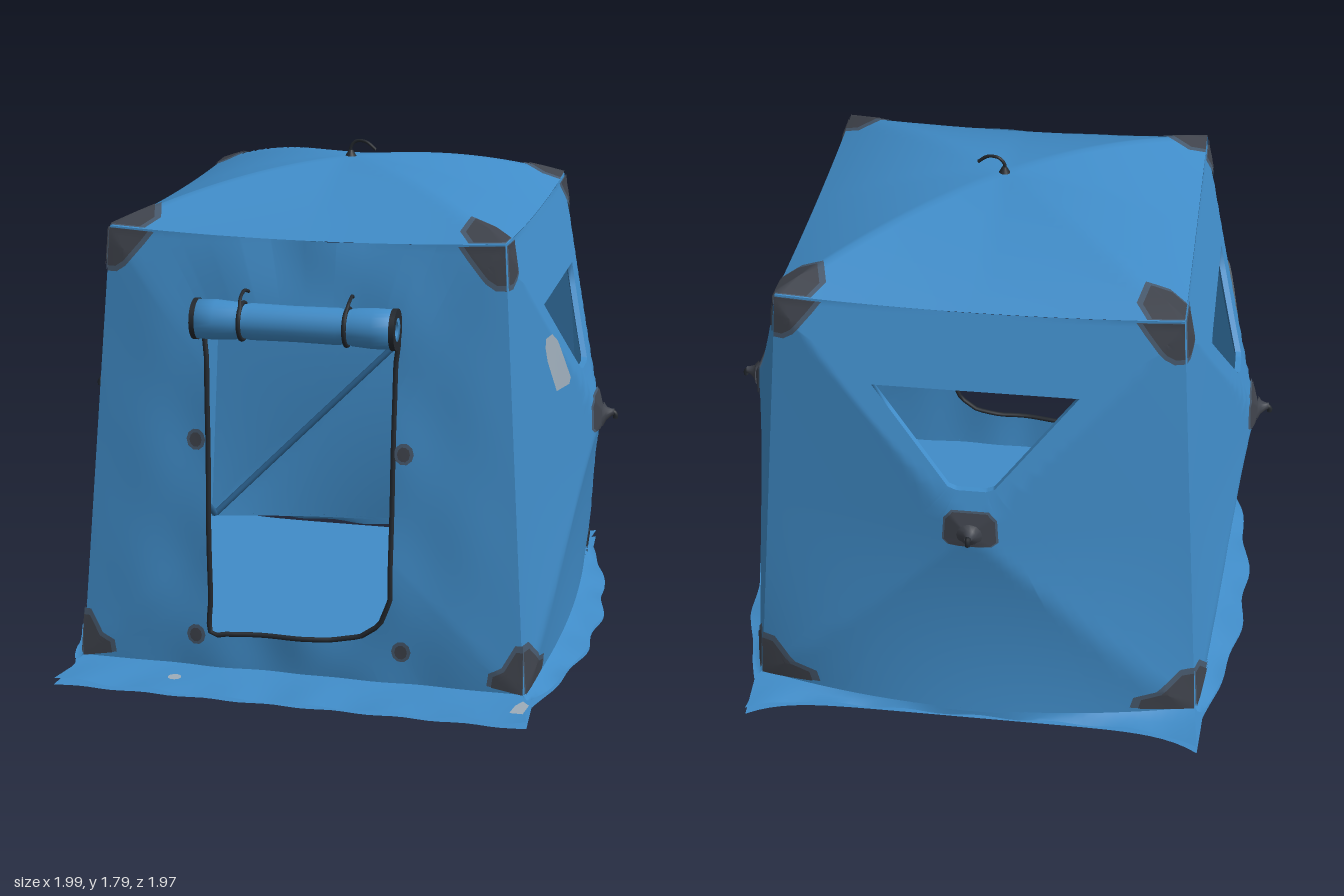
import * as THREE from 'three';

const mat = (name, hex) => {
  const m = new THREE.MeshStandardMaterial({ color: hex, side: THREE.DoubleSide });
  m.name = name;
  return m;
};
const TOP = 1.575, MID = 1.555, BASE = 0.03, HUB = 0.82, EDGE = 0.682;
const lerp = THREE.MathUtils.lerp;

// Half width of the tent at height y
const half = (y) => lerp(0.79, EDGE, (y - BASE) / (TOP - BASE));

// The four walls: hub bulge and its fullness, extra bulge at the ground, cloth folds, placing of (across, up, out)
const WALLS = [
  { name: 'front', bulge: 0.035, full: 3, low: 0, fold: 0.005, put: (a, y, d) => [a, y, d] },
  { name: 'back', bulge: 0.185, full: 1, low: 0.115, fold: 0, put: (a, y, d) => [-a, y, -d] },
  { name: 'left', bulge: 0.205, full: 0.88, low: 0.05, fold: 0, put: (a, y, d) => [d, y, -a] },
  { name: 'right', bulge: 0.205, full: 0.88, low: 0.05, fold: 0, put: (a, y, d) => [-d, y, a] },
];

// Point on a wall: four cloth panels rising to a central hub
function wallPoint(w, a, y, off = 0) {
  const s = Math.min(1, Math.abs(a) / half(y));
  const t = Math.min(1, y < HUB ? (HUB - y) / (HUB - BASE) : (y - HUB) / (MID - HUB));
  let d = half(y) + w.bulge * (1 - Math.pow(Math.max(s, t), w.full));
  if (y < HUB) d += w.low * t * t * (1 - s * s);
  d += w.fold * Math.sin(a * 17 + y * 6) * Math.sin(y * 7 - a * 4) * (1 - s) * 2;
  return w.put(a, y, d + off);
}

// Domed roof with sagging edges and panels
function roofPoint(x, z, off = 0) {
  const ax = Math.abs(x), az = Math.abs(z), m = Math.max(ax, az, 1e-6), t = m / EDGE;
  const k = Math.min(ax, az) / m;
  const sag = (TOP - MID) * (1 - k * k) * t * t + 0.04 * (1 - k) * t * (1 - t);
  return [x, TOP + 0.155 * (1 - t * t) - sag + off, z];
}

function surface(points, index) {
  const g = new THREE.BufferGeometry();
  g.setAttribute('position', new THREE.Float32BufferAttribute(points.flat(), 3));
  g.setIndex(index);
  g.computeVertexNormals();
  return g;
}

// Joins loops of equal length into a skin
function skin(loops, closed = true) {
  const n = loops[0].length, index = [];
  for (let r = 0; r < loops.length - 1; r++)
    for (let i = 0; i < (closed ? n : n - 1); i++) {
      const j = (i + 1) % n, a = r * n + i, b = r * n + j;
      index.push(a, a + n, b, b, a + n, b + n);
    }
  return surface(loops.flat(), index);
}

// Adds points along each side of a polygon
const divide = (poly, n) => poly.flatMap((p, i) => {
  const q = poly[(i + 1) % poly.length];
  return Array.from({ length: n }, (_, k) => [lerp(p[0], q[0], k / n), lerp(p[1], q[1], k / n)]);
});
const centre = (poly) => [0, 1].map((k) => poly.reduce((s, p) => s + p[k], 0) / poly.length);

// Distance from c along angle th to the polygon's outline
function reach(poly, c, th) {
  const dx = Math.cos(th), dy = Math.sin(th);
  let best = 0;
  poly.forEach((p, i) => {
    const q = poly[(i + 1) % poly.length];
    const ex = q[0] - p[0], ey = q[1] - p[1], px = p[0] - c[0], py = p[1] - c[1];
    const det = ex * dy - ey * dx;
    if (Math.abs(det) < 1e-9) return;
    const t = (ex * py - ey * px) / det, u = (dx * py - dy * px) / det;
    if (u > -1e-4 && u < 1.0001) best = Math.max(best, t);
  });
  return best;
}

// Cloth between an opening and the wall's outline
function clothWithOpening(w, hole) {
  const outer = [[-half(BASE), BASE], [half(BASE), BASE]];
  for (let i = 0; i <= 12; i++) {
    const s = 1 - i / 6;
    outer.push([s * EDGE, TOP - (TOP - MID) * (1 - s * s)]);
  }
  const c = centre(hole), angles = [];
  for (let i = 0; i < 140; i++) angles.push(-Math.PI + (i + 0.5) * Math.PI / 70);
  for (const p of [...hole, ...outer]) angles.push(Math.atan2(p[1] - c[1], p[0] - c[0]));
  angles.sort((a, b) => a - b);
  const rays = angles.filter((a, i) => i === 0 || a - angles[i - 1] > 1e-4)
    .map((th) => [th, reach(hole, c, th), reach(outer, c, th)]);
  const loops = [];
  for (let r = 0; r <= 24; r++)
    loops.push(rays.map(([th, h, o]) => {
      const d = lerp(h, o, r / 24);
      return wallPoint(w, c[0] + Math.cos(th) * d, c[1] + Math.sin(th) * d);
    }));
  return skin(loops);
}

// Thin patch that follows a surface
function patch(fn, poly, off) {
  const c = centre(poly), edge = divide(poly, 4), loops = [];
  for (let r = 0; r <= 5; r++)
    loops.push(edge.map((p) => fn(lerp(c[0], p[0], r / 5), lerp(c[1], p[1], r / 5), off)));
  return skin(loops);
}
const grow = (poly, c, k) => poly.map((p) => [c[0] + (p[0] - c[0]) * k, c[1] + (p[1] - c[1]) * k]);
const oval = (x, y, rx, ry) => Array.from({ length: 10 }, (_, i) =>
  [x + rx * Math.cos(i * Math.PI / 5), y + ry * Math.sin(i * Math.PI / 5)]);

function pipe(points, r, closed = false) {
  const curve = new THREE.CatmullRomCurve3(points.map((p) => new THREE.Vector3(...p)), closed);
  return new THREE.TubeGeometry(curve, Math.max(16, points.length * 2), r, 8, closed);
}

export function createModel() {
  const root = new THREE.Group();
  const cloth = mat('blue cloth', 0x408cc8), dark = mat('charcoal reinforcement', 0x3f434c);
  const border = mat('slate border', 0x47596d), pale = mat('pale patch', 0x9dacb9);
  const trim = mat('black trim', 0x23282e), sleeve = mat('pole sleeve', 0x2d6594);
  const add = (name, geo, m, parent = root) => {
    const mesh = new THREE.Mesh(geo, m);
    mesh.name = name;
    parent.add(mesh);
  };

  // Openings; the back window reaches a little lower
  const door = [[-0.33, 1.27], [-0.31, 0.165], [0.12, 0.18], [0.22, 0.2], [0.29, 0.25], [0.325, 0.34], [0.33, 1.27]];
  const windowShape = (y) => [[-0.35, 1.3], [-0.08, y + 0.01], [-0.05, y], [0.05, y], [0.08, y + 0.01], [0.35, 1.3]];
  // Corner reinforcement outlines on a wall
  const topCorner = [[EDGE, 1.57], [0.545, 1.562], [0.57, 1.53], [0.63, 1.46], [0.66, 1.44], [0.69, 1.44]];
  const lowCorner = [[0.788, 0.04], [0.781, 0.19], [0.74, 0.19], [0.67, 0.12], [0.60, 0.10], [0.59, 0.06]];
  const hubPatch = [[-0.09, 0.79], [-0.07, 0.775], [0.07, 0.775], [0.09, 0.79], [0.085, 0.87], [0.06, 0.9], [-0.06, 0.9], [-0.085, 0.87]];

  for (const w of WALLS) {
    const g = new THREE.Group();
    g.name = w.name + 'Wall';
    root.add(g);
    const on = (a, y, off) => wallPoint(w, a, y, off);
    const isFront = w.name === 'front';
    const hole = isFront ? door : windowShape(w.name === 'back' ? 0.97 : 1.0);
    add('cloth', clothWithOpening(w, hole), cloth, g);

    for (const s of [-1, 1]) for (const poly of [topCorner, lowCorner]) {
      // The front's lower patches are narrower
      const k = isFront && poly === lowCorner ? 0.55 : 1;
      const p = poly.map(([a, y]) => [s * lerp(poly[0][0], a, k), y]);
      add('cornerBorder', patch(on, grow(p, p[0], 1.15), 0.004), border, g);
      add('cornerPatch', patch(on, p, 0.008), dark, g);
    }
    if (isFront) {
      // Door piping and tie tabs
      add('doorPiping', pipe(divide(door, 8).map((p) => on(...p, 0)), 0.009, true), trim, g);
      for (const s of [-1, 1]) for (const y of [0.86, 0.16]) {
        add('tabBorder', patch(on, oval(s * 0.365, y, 0.034, 0.038), 0.006), border, g);
        add('tab', patch(on, oval(s * 0.365, y, 0.022, 0.026), 0.01), dark, g);
      }
      continue;
    }
    // Turned-in window hem
    const rim = divide(hole, 4), c = centre(hole);
    add('windowHem', skin([rim.map((p) => on(...p, 0)), grow(rim, c, 0.98).map((p) => on(...p, -0.02))]), cloth, g);
    // Hub with pull knob, and the poles crossing behind it
    add('hubBorder', patch(on, grow(hubPatch, [0, 0.83], 1.08), 0.005), border, g);
    add('hubPatch', patch(on, hubPatch, 0.009), dark, g);
    add('innerHub', patch(on, grow(hubPatch, [0, 0.81], 0.78), -0.05), dark, g);
    const d = half(HUB) + w.bulge;
    const knob = [[0.045, 0], [0.025, 0.012], [0.014, 0.03], [0.012, 0.04]].map(([r, h]) =>
      Array.from({ length: 12 }, (_, i) => w.put(r * Math.cos(i * Math.PI / 6), HUB + h * 0.3 + r * Math.sin(i * Math.PI / 6), d + h)));
    add('hubKnob', skin(knob), dark, g);
    add('hubPull', pipe([w.put(0, 0.83, d + 0.025), w.put(0, 0.83, d + 0.038), w.put(0, 0.82, d + 0.045), w.put(0, 0.808, d + 0.044)], 0.009), trim, g);
    for (const s of [-1, 1]) for (const y of [0.05, 1.55])
      add('pole', pipe([0, 0.25, 0.5, 0.75, 1].map((t) =>
        on(s * t * (half(y) - 0.02), lerp(HUB, y, t), -0.025)), 0.013), sleeve, g);
    // Pale patch near the front of each side
    if (w.name !== 'back') {
      const s = w.name === 'left' ? -1 : 1;
      const p = [[0.43, 1.2], [0.38, 1.205], [0.335, 1.17], [0.25, 1.02], [0.265, 1.0], [0.37, 1.0], [0.43, 1.12], [0.44, 1.17]];
      add('palePatch', patch(on, p.map(([a, y]) => [a * s, y]), 0.006), pale, g);
    }
  }

  // Roof with corner reinforcements, poles and hanging hook
  const roof = new THREE.PlaneGeometry(EDGE * 2, EDGE * 2, 40, 40).rotateX(-Math.PI / 2);
  const rp = roof.attributes.position;
  for (let i = 0; i < rp.count; i++) rp.setXYZ(i, ...roofPoint(rp.getX(i), rp.getZ(i)));
  roof.computeVertexNormals();
  add('roof', roof, cloth);
  const roofCorner = [[EDGE, EDGE], [EDGE, 0.575], [0.63, 0.54], [0.56, 0.56], [0.54, 0.63], [0.575, EDGE]];
  for (const sx of [-1, 1]) for (const sz of [-1, 1]) {
    const p = roofCorner.map(([x, z]) => [x * sx, z * sz]);
    add('roofCornerBorder', patch(roofPoint, grow(p, p[0], 1.15), 0.004), border);
    add('roofCornerPatch', patch(roofPoint, p, 0.008), dark);
    add('roofPole', pipe([0, 0.2, 0.4, 0.55, 0.65].map((t) => roofPoint(t * sx, t * sz, -0.025)), 0.012), sleeve);
  }
  add('roofHook', pipe([[0, 1.72, 0], [0, 1.76, 0], [0.02, 1.783, 0], [0.06, 1.782, 0.01], [0.095, 1.757, 0.015]], 0.006), trim);
  add('hookBase', new THREE.CylinderGeometry(0.008, 0.022, 0.025, 12).translate(0, 1.738, 0), trim);

  // Ground skirt around the walls, and the floor inside its outline
  const flare = {
    front: (s) => [s * 0.83, 0.98 + 0.005 * Math.sin(s * 23)],
    back: (s) => [s * 0.81, 0.905 + 0.085 * Math.pow(Math.abs(s), 7)],
    side: (s) => [s * 0.80, 0.82 + 0.125 * (1 - s * s) + 0.012 * Math.sin(s * 14) * (1 - s * s)],
  };
  const outline = [];
  for (const i of [0, 2, 1, 3]) {
    const w = WALLS[i], inner = [], mid = [], outer = [];
    for (let k = 0; k <= 40; k++) {
      const s = k / 20 - 1, [a, d] = (flare[w.name] || flare.side)(s);
      const p = wallPoint(w, s * half(0.04), 0.04), q = w.put(a, 0.01 + 0.005 * Math.sin(s * 19 + i) + 0.014 * s * s, d);
      inner.push(p);
      mid.push([lerp(p[0], q[0], 0.4), 0.024 + 0.004 * Math.sin(s * 13), lerp(p[2], q[2], 0.4)]);
      outer.push(q);
      outline.push(new THREE.Vector2(q[0], -q[2]));
    }
    add(w.name + 'Skirt', skin([inner, mid, outer], false), cloth);
  }
  add('floor', new THREE.ShapeGeometry(new THREE.Shape(outline)).rotateX(-Math.PI / 2), cloth);
  const flat = (x, z, off) => [x, 0.03 + off, z];
  add('skirtDot', patch(flat, oval(-0.42, 0.89, 0.024, 0.024), 0), pale);
  add('skirtPatch', patch(flat, [[0.765, 0.935], [0.81, 0.935], [0.82, 0.86], [0.795, 0.83], [0.775, 0.87]], 0.004), pale);

  // Rolled-up door with bound ends and two straps
  const roll = new THREE.Group();
  roll.name = 'rolledDoor';
  roll.position.set(0, 1.298, 0.805);
  root.add(roll);
  const profile = [[0.028, -0.345], [0.066, -0.345], [0.068, -0.27], [0.063, -0.2], [0.056, -0.18], [0.062, -0.15], [0.06, 0],
    [0.062, 0.15], [0.056, 0.18], [0.063, 0.2], [0.068, 0.27], [0.066, 0.345], [0.028, 0.345], [0.028, -0.345]];
  add('roll', new THREE.LatheGeometry(profile.map((p) => new THREE.Vector2(...p)), 24).rotateZ(Math.PI / 2), cloth, roll);
  for (const s of [-1, 1]) {
    add('endBinding', new THREE.CylinderGeometry(0.07, 0.07, 0.018, 24, 1, true).rotateZ(Math.PI / 2).translate(s * 0.34, 0, 0), trim, roll);
    add('endRim', new THREE.RingGeometry(0.04, 0.07, 24).rotateY(Math.PI / 2).translate(s * 0.349, 0, 0), trim, roll);
    add('strap', new THREE.TorusGeometry(0.062, 0.008, 8, 24).rotateY(Math.PI / 2).translate(s * 0.18, 0, 0), trim, roll);
    add('strapLoop', pipe([[s * 0.18, 0.05, 0.04], [s * 0.185, 0.08, 0.01], [s * 0.185, 0.095, -0.04], [s * 0.18, 0.085, -0.075]], 0.006), trim, roll);
  }
  return root;
}
